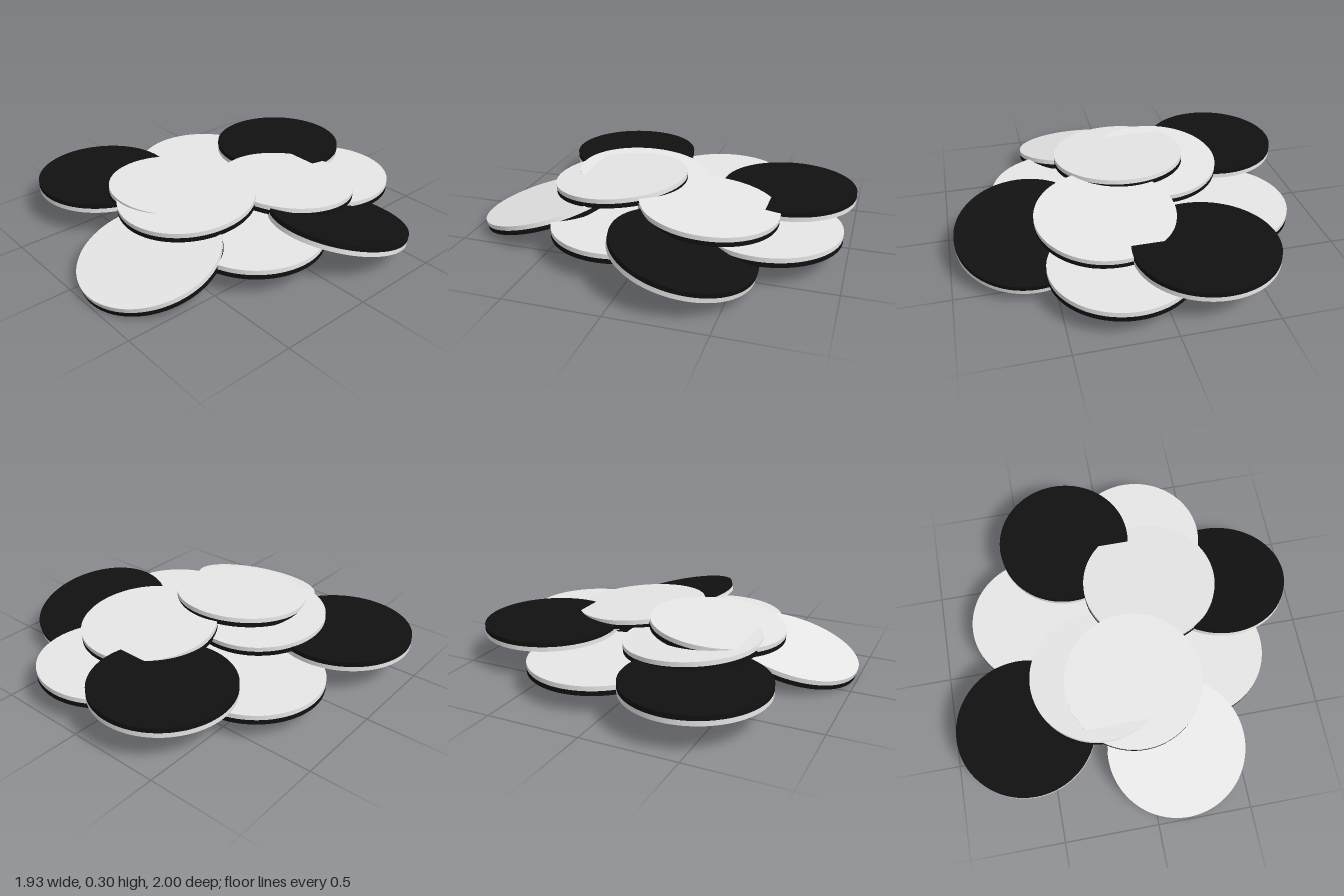
import * as THREE from 'three';

const RADIUS = 0.367;
const LAYER = 0.025; // each piece is two bonded layers

// name, x, y (mid-height), z, forward tilt in degrees, black face up?
const PIECES = [
  ['backLeftPiece', -0.235, 0.195, -0.635, 0, true],
  ['backRightPiece', 0.178, 0.14, -0.605, 0, false],
  ['leftPiece', -0.453, 0.126, -0.21, 0, false],
  ['rightTiltedPiece', 0.595, 0.165, -0.26, -13, true],
  ['rightLowPiece', 0.373, 0.142, 0.13, 0, false],
  ['upperBackPiece', 0.193, 0.219, -0.285, -4.9, false],
  ['upperLeftPiece', -0.18, 0.21, 0.2, -3.5, false],
  ['topPiece', 0, 0.245, 0.268, 4.6, false],
  ['frontLeftPiece', -0.6, 0.177, 0.398, 0, true],
  ['frontTiltedPiece', 0.163, 0.117, 0.633, 14.5, false],
];

export function createModel() {
  const white = new THREE.MeshStandardMaterial({ color: 0xeeeeee });
  white.name = 'white';
  const black = new THREE.MeshStandardMaterial({ color: 0x111111 });
  black.name = 'black';
  const disc = new THREE.CylinderGeometry(RADIUS, RADIUS, LAYER, 96);

  const model = new THREE.Group();
  model.name = 'discPile';
  for (const [name, x, y, z, tilt, blackUp] of PIECES) {
    const piece = new THREE.Group();
    piece.name = name;
    // upper and lower layers in opposite colours
    for (const side of [1, -1]) {
      const isBlack = (side === 1) === blackUp;
      const layer = new THREE.Mesh(disc, isBlack ? black : white);
      layer.name = isBlack ? 'blackLayer' : 'whiteLayer';
      layer.position.y = (side * LAYER) / 2;
      piece.add(layer);
    }
    piece.position.set(x, y, z);
    piece.rotation.x = THREE.MathUtils.degToRad(tilt);
    model.add(piece);
  }
  return model;
}
